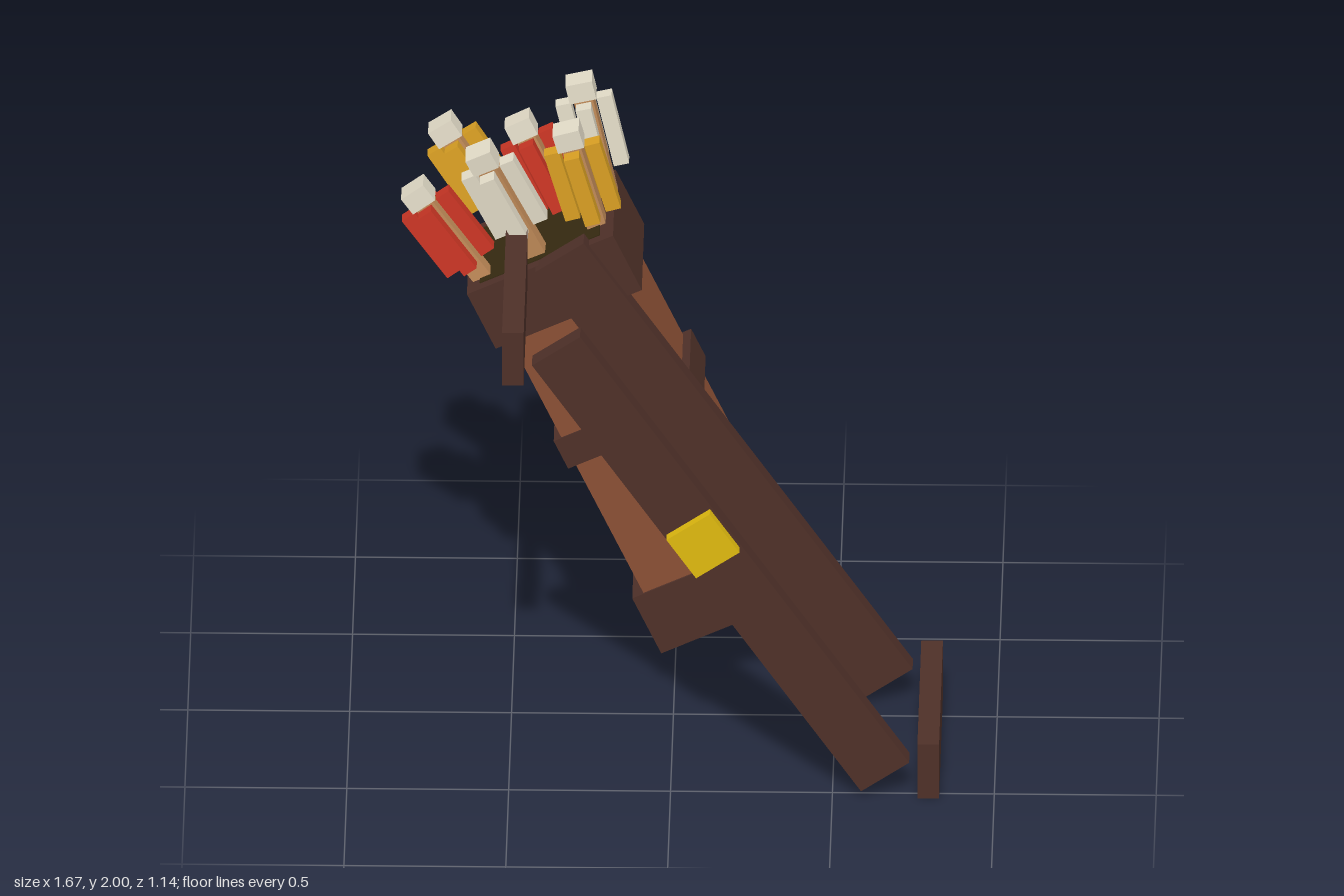
import * as THREE from 'three';

const mat = (name, color) => {
  const m = new THREE.MeshStandardMaterial({ color });
  m.name = name;
  return m;
};

export function createModel() {
  const darkLeather = mat('darkLeather', 0x4e3028);
  const leather = mat('leather', 0x8a4f34);
  const gold = mat('gold', 0xdeb90f);
  const white = mat('whiteFeather', 0xe3dcc8);
  const yellow = mat('yellowFeather', 0xd99f23);
  const red = mat('redFeather', 0xc93524);
  const wood = mat('shaftWood', 0xc08a58);
  const inside = mat('insideShadow', 0x352910);

  const model = new THREE.Group();
  model.name = 'quiver';

  // Box given by its low and high corners
  const box = (parent, name, material, [x0, y0, z0], [x1, y1, z1]) => {
    const mesh = new THREE.Mesh(new THREE.BoxGeometry(x1 - x0, y1 - y0, z1 - z0), material);
    mesh.position.set((x0 + x1) / 2, (y0 + y1) / 2, (z0 + z1) / 2);
    mesh.name = name;
    parent.add(mesh);
    return mesh;
  };

  // Tilted case with its bands
  const quiverCase = new THREE.Group();
  quiverCase.name = 'case';
  quiverCase.rotation.z = THREE.MathUtils.degToRad(25);
  model.add(quiverCase);
  box(quiverCase, 'caseBody', leather, [0.06, 0.3, -0.5], [0.468, 1.4, -0.145]);
  box(quiverCase, 'bottomBand', darkLeather, [0.022, 0.142, -0.522], [0.505, 0.354, -0.138]);
  box(quiverCase, 'middleBand', darkLeather, [0.034, 0.848, -0.517], [0.495, 0.954, -0.14]);
  box(quiverCase, 'topBand', darkLeather, [0.016, 1.338, -0.537], [0.514, 1.548, -0.108]);
  box(quiverCase, 'opening', inside, [0.06, 1.545, -0.5], [0.468, 1.551, -0.145]);
  box(quiverCase, 'backBuckle', gold, [0.185, 0.818, -0.552], [0.343, 0.976, -0.5]);

  // Small strap on the back of the case
  const backStrap = box(model, 'backStrap', darkLeather, [0.022, 0.495, -0.523], [0.122, 0.85, -0.49]);
  backStrap.rotation.z = THREE.MathUtils.degToRad(17);

  // Two long straps joined by cross pieces
  for (const [name, z] of [['frontStrap', 0.4975], ['rearStrap', -0.11]]) {
    const strap = box(model, name, darkLeather, [0.065, -0.085, z - 0.0325], [0.245, 1.715, z + 0.0325]);
    strap.rotation.z = 0.6;
  }
  box(model, 'upperCrossPiece', darkLeather, [-0.52, 1.438, -0.14], [-0.453, 1.622, 0.533]);
  box(model, 'lowerCrossPiece', darkLeather, [0.763, 0, -0.14], [0.83, 0.19, 0.533]);
  const buckle = box(model, 'frontBuckle', gold, [0.02, 0.815, 0.52], [0.182, 0.977, 0.565]);
  buckle.rotation.z = 0.6;

  // Arrows: feather centre, lean in x and z, feather colour
  const arrows = [
    [-0.7, 1.575, -0.21, 36, -0.05, red],
    [-0.628, 1.665, -0.455, 33, -0.07, yellow],
    [-0.525, 1.715, -0.185, 26, 0.08, white],
    [-0.41, 1.655, -0.475, 26, -0.1, red],
    [-0.285, 1.75, -0.237, 16, 0.01, yellow],
    [-0.258, 1.81, -0.432, 13, -0.04, white],
  ];
  for (const [x, y, z, lean, tilt, feather] of arrows) {
    const arrow = new THREE.Group();
    arrow.name = 'arrow';
    arrow.position.set(x, y, z);
    arrow.rotation.set(tilt, 0, THREE.MathUtils.degToRad(lean));
    model.add(arrow);
    box(arrow, 'shaft', wood, [-0.03, -0.42, -0.03], [0.03, 0.15, 0.03]);
    box(arrow, 'nock', white, [-0.042, 0.125, -0.042], [0.042, 0.188, 0.042]);
    for (const [dx, dz] of [[1, 0], [-1, 0], [0, 1], [0, -1]]) {
      const vane = box(arrow, 'feather', feather, [-0.024, -0.12, -0.024], [0.024, 0.12, 0.024]);
      vane.position.set(dx * 0.065, 0, dz * 0.065);
    }
  }
  return model;
}
